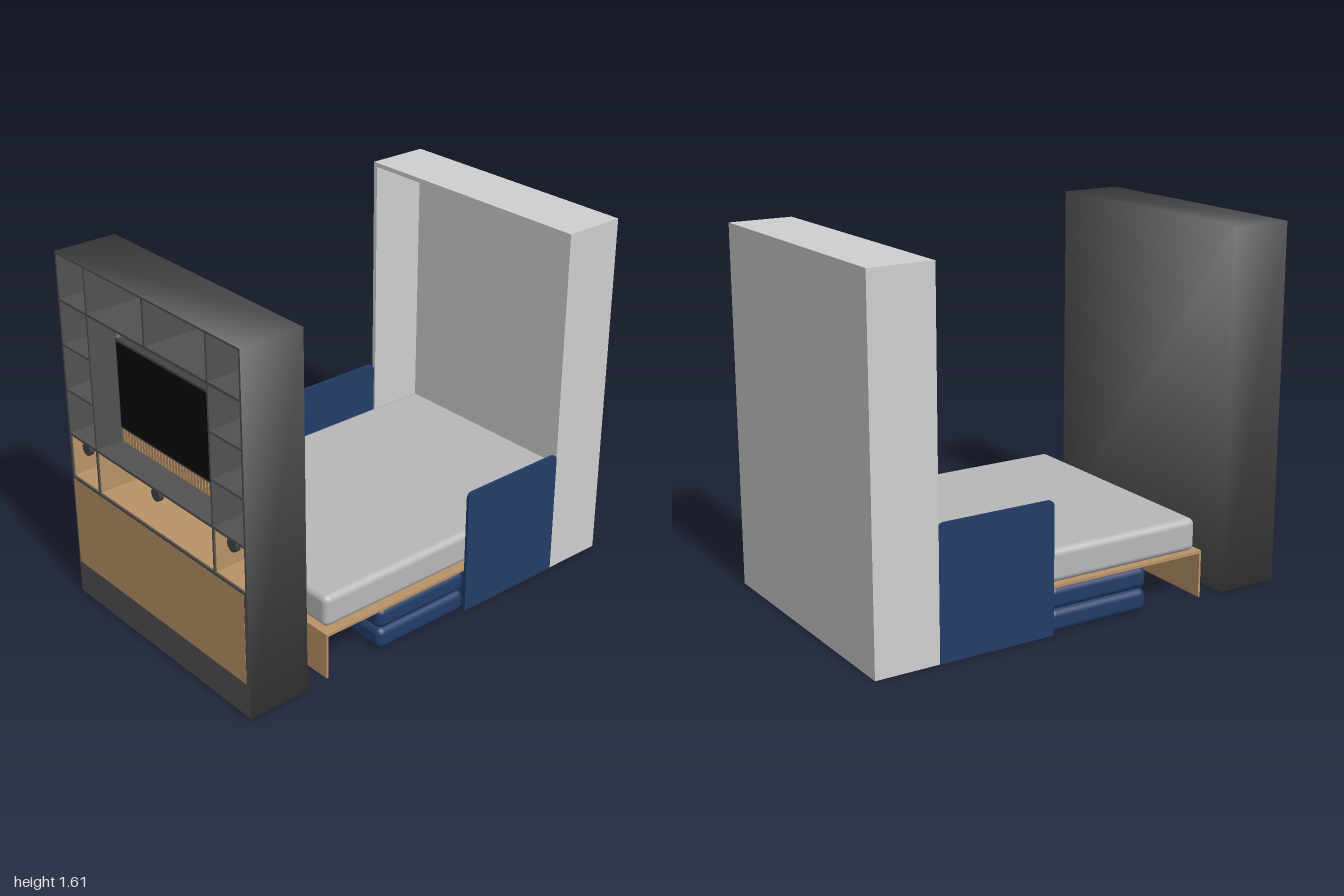
import * as THREE from 'three';
import { RoundedBoxGeometry } from 'three/addons/geometries/RoundedBoxGeometry.js';

const paint = (name, color, side = THREE.FrontSide) => {
  const m = new THREE.MeshStandardMaterial({ color, side });
  m.name = name;
  return m;
};

export function createModel() {
  const model = new THREE.Group();
  model.name = 'wallBed';
  const charcoal = paint('charcoal', 0x525252);
  const paleGrey = paint('paleGrey', 0xcfcfcf);
  const linen = paint('linen', 0xb8b8bb);
  const wood = paint('wood', 0xba9368);
  const navy = paint('navy', 0x223c68);
  const black = paint('black', 0x0b0b0b);
  const lampGrey = paint('lampGrey', 0x444444);

  const group = (name) => {
    const g = new THREE.Group();
    g.name = name;
    model.add(g);
    return g;
  };
  const add = (parent, name, geometry, material) => {
    const mesh = new THREE.Mesh(geometry, material);
    mesh.name = name;
    parent.add(mesh);
    return mesh;
  };
  // Box given by its limits, rounded when a radius is passed
  const box = (parent, name, mat, [x0, x1], [y0, y1], [z0, z1], r = 0) => {
    const size = [x1 - x0, y1 - y0, z1 - z0];
    const g = r ? new RoundedBoxGeometry(...size, 4, r) : new THREE.BoxGeometry(...size);
    g.translate((x0 + x1) / 2, (y0 + y1) / 2, (z0 + z1) / 2);
    return add(parent, name, g, mat);
  };

  // Bed housing: hollow box open to the front
  const housing = group('bedHousing');
  box(housing, 'housingBack', paleGrey, [-0.61, 0.61], [0, 1.61], [-1, -0.98]);
  box(housing, 'housingTop', paleGrey, [-0.61, 0.61], [1.59, 1.61], [-0.98, -0.71]);
  box(housing, 'housingFloor', paleGrey, [-0.59, 0.59], [0, 0.02], [-0.98, -0.71]);
  for (const s of [-1, 1]) {
    const x = [0.59 * s, 0.61 * s].sort((a, b) => a - b);
    box(housing, 'housingSide', paleGrey, x, [0, 1.59], [-0.98, -0.71]);
  }

  // Bed: platform, front support and mattress
  const bed = group('bed');
  box(bed, 'platform', wood, [-0.6, 0.6], [0.2, 0.213], [-0.71, 0.6]);
  box(bed, 'platformRear', wood, [-0.588, 0.588], [0.2, 0.213], [-0.978, -0.71]);
  box(bed, 'frontSupport', wood, [-0.6, 0.6], [0, 0.2], [0.59, 0.6]);
  box(bed, 'mattress', linen, [-0.588, 0.57], [0.213, 0.36], [-0.975, 0.577], 0.03);

  // Sofa under the bed: stacked cushions, base and arms
  const sofa = group('sofa');
  for (const y of [0, 0.1]) {
    box(sofa, 'cushion', navy, [-0.6, 0.6], [y, y + 0.1], [-0.18, 0.312], 0.032);
  }
  box(sofa, 'sofaBase', navy, [-0.597, 0.597], [0, 0.198], [-0.709, -0.19]);
  const arm = new THREE.Shape();
  const r = 0.03;
  arm.moveTo(-0.71, 0);
  arm.lineTo(-0.173, 0);
  arm.lineTo(-0.173, 0.585 - r);
  arm.quadraticCurveTo(-0.173, 0.585, -0.173 - r, 0.585);
  arm.lineTo(-0.71 + r, 0.585);
  arm.quadraticCurveTo(-0.71, 0.585, -0.71, 0.585 - r);
  arm.closePath();
  for (const x of [0.612, -0.599]) {
    const g = new THREE.ExtrudeGeometry(arm, { depth: 0.013, bevelEnabled: false });
    g.rotateY(-Math.PI / 2);
    add(sofa, 'sofaArm', g, navy).position.x = x;
  }

  // Media cabinet shell: soft-shaded box without its front face
  const cabinet = group('mediaCabinet');
  const shell = new THREE.BoxGeometry(1.224, 1.61, 0.29);
  const index = Array.from(shell.index.array);
  index.splice(24, 6);
  shell.setIndex(index);
  shell.clearGroups();
  const p = shell.attributes.position;
  const n = new THREE.Vector3();
  for (let i = 0; i < p.count; i++) {
    n.fromBufferAttribute(p, i);
    n.set(Math.sign(n.x), Math.sign(n.y), Math.sign(n.z)).normalize();
    shell.attributes.normal.setXYZ(i, n.x, n.y, n.z);
  }
  shell.translate(0, 0.805, 0.855);
  add(cabinet, 'cabinetShell', shell, charcoal);

  // Shelf grid: one slab with the compartments cut out
  const cells = [
    [-0.398, -0.006, 1.406, 1.6], [0.006, 0.398, 1.406, 1.6],
    [-0.398, 0.398, 0.792, 1.394],
  ];
  const woodCells = [[-0.398, 0.398, 0.584, 0.78]];
  for (const [x0, x1] of [[-0.6, -0.408], [0.408, 0.6]]) {
    for (const [y0, y1] of [[0.792, 0.99], [1, 1.195], [1.205, 1.394], [1.406, 1.6]]) {
      cells.push([x0, x1, y0, y1]);
    }
    woodCells.push([x0, x1, 0.584, 0.78]);
  }
  const rect = (path, [x0, x1, y0, y1]) => {
    path.moveTo(x0, y0);
    path.lineTo(x1, y0);
    path.lineTo(x1, y1);
    path.lineTo(x0, y1);
    path.closePath();
    return path;
  };
  const face = rect(new THREE.Shape(), [-0.611, 0.611, 0.001, 1.609]);
  face.holes = [...cells, ...woodCells].map((c) => rect(new THREE.Path(), c));
  const grid = new THREE.ExtrudeGeometry(face, { depth: 0.26, bevelEnabled: false });
  grid.translate(0, 0, 0.739);
  add(cabinet, 'shelfGrid', grid, charcoal);
  box(cabinet, 'cabinetBack', charcoal, [-0.608, 0.608], [0.002, 1.608], [0.715, 0.741]);
  box(cabinet, 'lowerFront', wood, [-0.602, 0.59], [0.155, 0.57], [0.992, 1]);

  // Wood-lined niches, each with a round lamp
  const t = 0.004;
  for (const [x0, x1, y0, y1] of woodCells) {
    const z = [0.745, 0.993];
    box(cabinet, 'nicheBack', wood, [x0, x1], [y0, y1], [0.741, 0.745]);
    box(cabinet, 'nicheFloor', wood, [x0, x1], [y0, y0 + t], z);
    box(cabinet, 'nicheTop', wood, [x0, x1], [y1 - t, y1], z);
    box(cabinet, 'nicheSide', wood, [x0, x0 + t], [y0 + t, y1 - t], z);
    box(cabinet, 'nicheSide', wood, [x1 - t, x1], [y0 + t, y1 - t], z);
    const lamp = new THREE.CylinderGeometry(0.03, 0.03, 0.02, 28);
    lamp.rotateX(Math.PI / 2);
    add(cabinet, 'lamp', lamp, lampGrey).position.set((x0 + x1) / 2, 0.747, 0.975);
  }

  // Slatted wall behind the screen
  box(cabinet, 'slatBacking', wood, [-0.398, 0.398], [0.792, 1.394], [0.741, 0.855]);
  const slats = 38;
  const pitch = 0.796 / slats;
  for (let i = 0; i < slats; i++) {
    const x = -0.398 + i * pitch;
    box(cabinet, 'slat', wood, [x + 0.003, x + pitch - 0.003], [0.792, 1.394], [0.855, 0.872]);
  }

  // Television
  const tv = group('television');
  box(tv, 'tvFrame', lampGrey, [-0.345, 0.345], [0.888, 1.29], [0.872, 0.908]);
  box(tv, 'tvScreen', black, [-0.335, 0.335], [0.898, 1.28], [0.908, 0.911]);

  return model;
}
